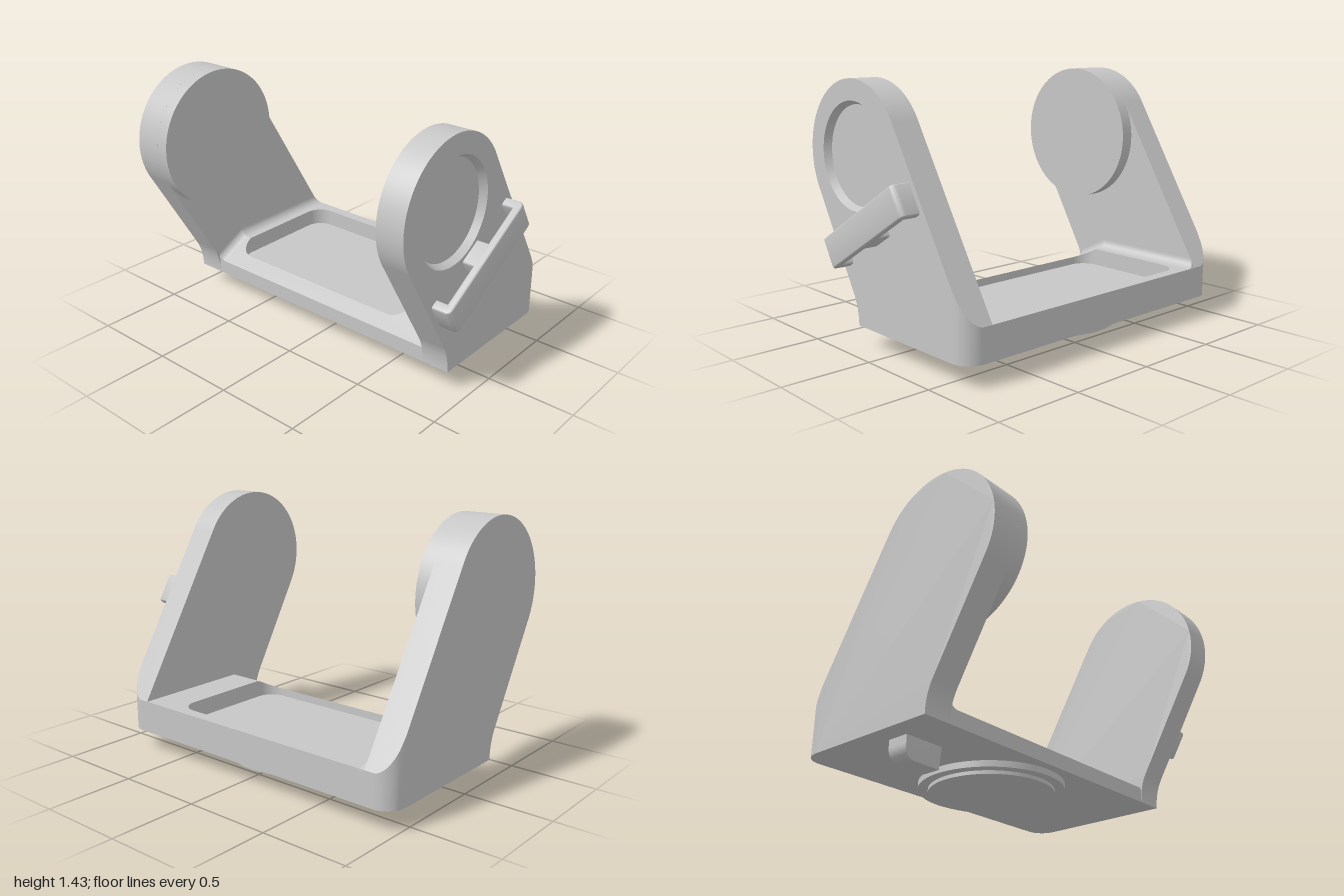
import * as THREE from 'three';
import { toCreasedNormals } from 'three/addons/utils/BufferGeometryUtils.js';

const BACK = -0.657, FRONT = 0.243, BOTTOM = 0.115, TOP = 0.3, FLOOR = 0.2;
const FOLD = 0.05;                       // z where the deck starts to slope down
const BACK_SLOPE = 1.664;                // rise of the arm's back edge
const HEAD = { y: 1.027, z: 0.25, r: 0.404 };
const OUTER = 0.893;                     // outer face of the left arm

export function createModel() {
  const model = new THREE.Group();
  const grey = new THREE.MeshStandardMaterial({ color: 0xc6c6c6 });
  grey.name = 'grey';

  function add(name, geometry) {
    const mesh = new THREE.Mesh(toCreasedNormals(geometry, 0.4), grey);
    mesh.name = name;
    model.add(mesh);
  }
  const polygon = (pts) => new THREE.Shape(pts.map(([x, y]) => new THREE.Vector2(x, y)));

  // Move every vertex by a rule
  function warp(geometry, rule) {
    const p = geometry.attributes.position;
    const v = new THREE.Vector3();
    for (let i = 0; i < p.count; i++) {
      v.fromBufferAttribute(p, i);
      rule(v);
      p.setXYZ(i, v.x, v.y, v.z);
    }
    return geometry;
  }

  // Side profile drawn as (-z, y), swept from x0 to x1
  function sweepX(shape, x0, x1, steps = 1) {
    return new THREE.ExtrudeGeometry(shape, { depth: x1 - x0, steps, bevelEnabled: false, curveSegments: 40 })
      .rotateY(Math.PI / 2).translate(x0, 0, 0);
  }
  // Plan drawn as (x, -z), swept from y0 to y1
  function sweepY(shape, y0, y1) {
    return new THREE.ExtrudeGeometry(shape, { depth: y1 - y0, bevelEnabled: false, curveSegments: 12 })
      .rotateX(-Math.PI / 2).translate(0, y0, 0);
  }
  const slopeY = (z) => TOP - Math.max(0, z - FOLD) * ((TOP - FLOOR) / (FRONT - FOLD));

  // Arms: leaning plates with round heads
  function armShape() {
    const s = new THREE.Shape();
    s.moveTo(-FRONT, BOTTOM);
    s.lineTo(-BACK, BOTTOM);
    s.lineTo(-BACK, TOP);
    s.absarc(-HEAD.z, HEAD.y, HEAD.r, Math.PI / 6, Math.PI * 7 / 6, false);
    s.lineTo(-0.284, 0.282);
    s.quadraticCurveTo(-FRONT, 0.21, -FRONT, BOTTOM);
    return s;
  }
  // Round the outer vertical back corners
  function roundCorner(v) {
    const r = 0.11, d = Math.min(v.x + 1, OUTER - v.x);
    if (d >= r) return;
    const z = BACK + r - Math.sqrt(Math.max(0, r * r - (r - d) ** 2));
    if (v.z < z) {
      if (v.y > 0.2) v.y = TOP + (z - BACK) * BACK_SLOPE;
      v.z = z;
    }
  }
  const pierced = armShape();
  const hole = new THREE.Path();
  hole.absarc(-HEAD.z, HEAD.y, 0.29, 0, Math.PI * 2, true);
  pierced.holes.push(hole);
  add('rightArm', warp(sweepX(armShape(), -1, -0.84, 20), roundCorner));
  add('leftArmInner', warp(sweepX(armShape(), 0.732, 0.853, 12), roundCorner));
  add('leftArmOuter', warp(sweepX(pierced, 0.853, OUTER, 8), roundCorner));

  // Tapered wall of the round recess, facing inward
  add('recessWall', new THREE.LatheGeometry(
    [new THREE.Vector2(0.29, 0.04), new THREE.Vector2(0.27, 0)], 64)
    .rotateZ(-Math.PI / 2).translate(0.853, HEAD.y, HEAD.z));

  // Round boss inside the right arm
  add('armBoss', new THREE.CylinderGeometry(HEAD.r, HEAD.r, 0.077, 80)
    .rotateZ(Math.PI / 2).translate(-0.8015, HEAD.y, HEAD.z));

  // Base slab up to the pocket floor
  const x0 = -0.845, x1 = 0.737;
  add('baseSlab', sweepX(polygon([
    [-FRONT, BOTTOM], [-BACK, BOTTOM], [-BACK, FLOOR], [-FRONT, FLOOR],
  ]), x0, x1));

  // Raised deck around the back of the pocket
  const px0 = -0.76, px1 = 0.52, pz = -0.59, r = 0.105;
  const deck = polygon([[x0, -FOLD], [x0, -BACK], [x1, -BACK], [x1, -FOLD], [px1, -FOLD]]);
  deck.lineTo(px1, -pz - r);
  deck.absarc(px1 - r, -pz - r, r, 0, Math.PI / 2, false);
  deck.absarc(px0 + r, -pz - r, r, Math.PI / 2, Math.PI, false);
  deck.lineTo(px0, -FOLD);
  add('deck', sweepY(deck, FLOOR, TOP));

  // Sloping front of the deck, closing the pocket
  const rim = polygon([[px0, -FOLD], [x0, -FOLD], [x0, -FRONT], [x1, -FRONT], [x1, -FOLD], [px1, -FOLD]]);
  rim.absarc(px1 - r, -FOLD, r, 0, -Math.PI / 2, true);
  rim.absarc(px0 + r, -FOLD, r, -Math.PI / 2, -Math.PI, true);
  add('deckFront', warp(sweepY(rim, FLOOR, TOP), (v) => { v.y = Math.min(v.y, slopeY(v.z)); }));

  // Fillet between right arm and deck
  const fillet = new THREE.Shape();
  fillet.moveTo(-0.842, TOP - 0.01);
  fillet.lineTo(-0.79, TOP - 0.01);
  fillet.lineTo(-0.79, TOP);
  fillet.absarc(-0.79, TOP + 0.05, 0.05, -Math.PI / 2, -Math.PI, true);
  fillet.lineTo(-0.842, TOP + 0.05);
  for (const [z0, z1] of [[BACK, FOLD], [FOLD, FRONT]]) {
    const g = new THREE.ExtrudeGeometry(fillet, { depth: z1 - z0, bevelEnabled: false, curveSegments: 8 });
    g.translate(0, 0, z0);
    add('armFillet', warp(g, (v) => {
      v.z = Math.max(v.z, BACK + Math.max(0, v.y - TOP) / BACK_SLOPE);
      v.y -= TOP - slopeY(v.z);
    }));
  }

  // Stepped round foot
  for (const [name, radius, y] of [['footUpper', 0.404, 0.08], ['footLower', 0.349, 0.06]]) {
    const h = BOTTOM + 0.005 - y;
    add(name, new THREE.CylinderGeometry(radius, radius, h, 72).translate(-0.056, y + h / 2, -0.212));
  }

  // Locating peg with one rounded corner
  const peg = polygon([[-0.65, 0], [-0.65, 0.12], [-0.885, 0.12]]);
  peg.absarc(-0.815, 0.07, 0.07, Math.PI, Math.PI * 1.5, false);
  add('peg', warp(new THREE.ExtrudeGeometry(peg, { depth: 0.125, bevelEnabled: false, curveSegments: 10 })
    .translate(0, 0, -0.125), (v) => {
    if (v.z > -0.01) v.z = -0.015 * Math.max(0, 1 - v.y / 0.07);
  }));

  // Slanted clip: a bar on two legs and a middle post
  const L = 0.374, leg = 0.055, post = 0.077, bar = 0.065, out = 0.11, low = -0.02, c = 0.03;
  const clip = polygon([
    [-L, low], [-L + leg, low], [-L + leg, bar], [-post, bar], [-post, low],
    [post, low], [post, bar], [L - leg, bar], [L - leg, low], [L, low],
  ]);
  clip.absarc(L - c, out - c, c, 0, Math.PI / 2, false);
  clip.absarc(-L + c, out - c, c, Math.PI / 2, Math.PI, false);
  const b = 0.012, width = 0.172;
  add('clip', new THREE.ExtrudeGeometry(clip, {
    depth: width - 2 * b, bevelThickness: b, bevelSize: b, bevelOffset: -b, bevelSegments: 3, curveSegments: 6,
  }).translate(0, 0, b - width / 2).rotateX(Math.PI / 2).rotateZ(0.535)
    .translate(-0.048, 0.69, 0.89).rotateY(Math.PI / 2));

  return model;
}
